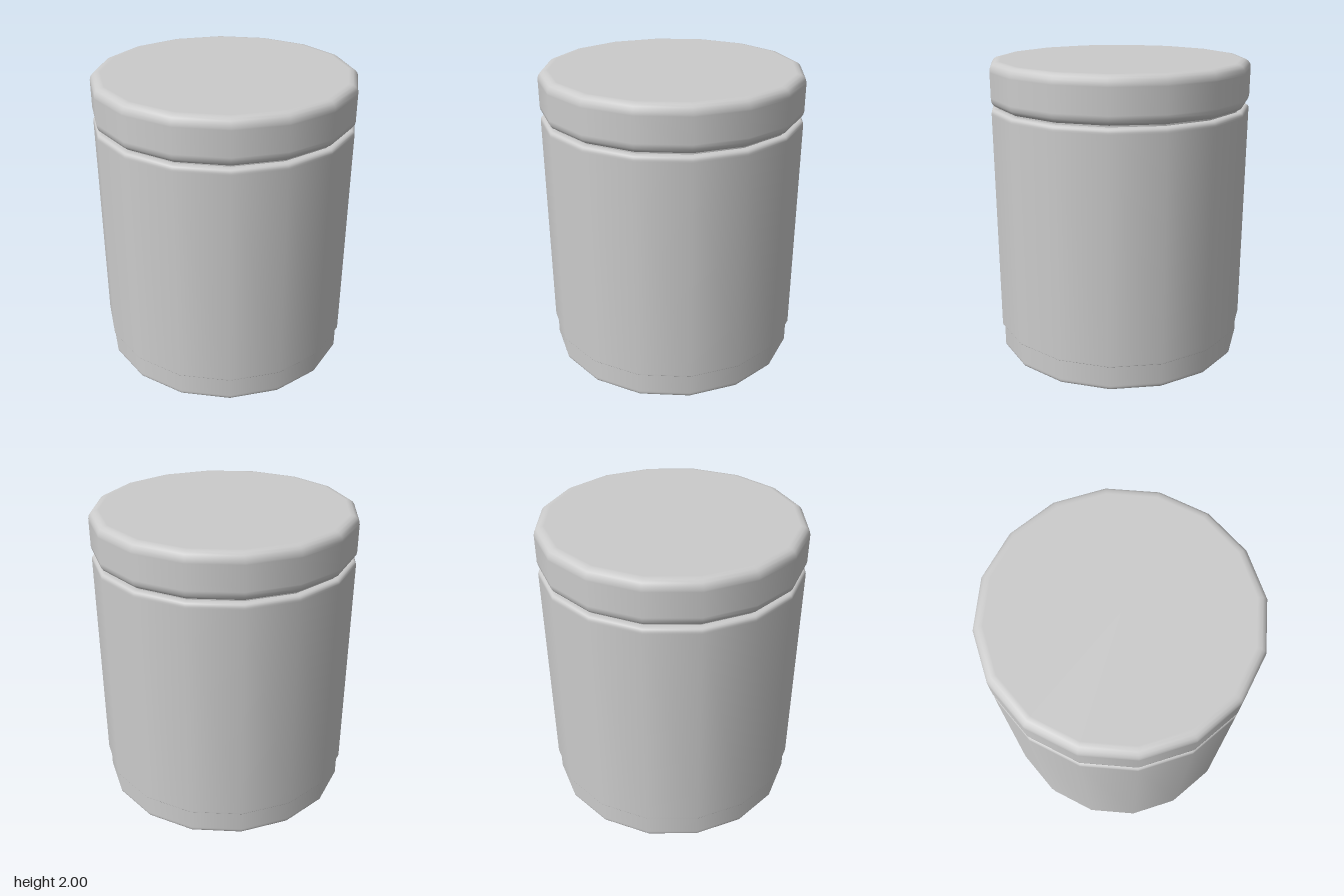
import * as THREE from 'three';

const SIDES = 16;

// Quarter-round corner of an outline, running from angle a0 to a1 (degrees)
function corner(r, y, radius, a0, a1, steps = 4) {
  return Array.from({ length: steps + 1 }, (_, i) => {
    const a = THREE.MathUtils.degToRad(a0 + (a1 - a0) * i / steps);
    return [r + radius * Math.cos(a), y + radius * Math.sin(a)];
  });
}

// Closed drum with rounded rims; a rim radius of 0.004 reads as a sharp edge
function drum(name, radius, y0, y1, bottomRim, topRim) {
  const flat = radius - Math.max(bottomRim, topRim) - 0.01; // keeps the caps flat
  const outline = [
    [0, y0], [flat, y0],
    ...corner(radius - bottomRim, y0 + bottomRim, bottomRim, -90, 0),
    [radius, y0 + bottomRim + 0.01],
    [radius, y1 - topRim - 0.01],
    ...corner(radius - topRim, y1 - topRim, topRim, 0, 90),
    [flat, y1], [0, y1],
  ].map(([r, y]) => new THREE.Vector2(r, y));
  const mesh = new THREE.Mesh(
    new THREE.LatheGeometry(outline, SIDES),
    new THREE.MeshStandardMaterial({ color: 0xcccccc })
  );
  mesh.name = name;
  return mesh;
}

export function createModel() {
  const jar = new THREE.Group();
  jar.name = 'jar';
  jar.add(
    // Slightly inset foot
    drum('base', 0.85, 0, 0.19, 0.025, 0.004),
    // Main container with a softened shoulder
    drum('body', 0.865, 0.175, 1.7, 0.004, 0.025),
    // Short recessed neck in the gap under the lid
    drum('neck', 0.82, 1.66, 1.74, 0.004, 0.004),
    // Rounded lid
    drum('lid', 0.865, 1.708, 2, 0.055, 0.055)
  );
  return jar;
}
